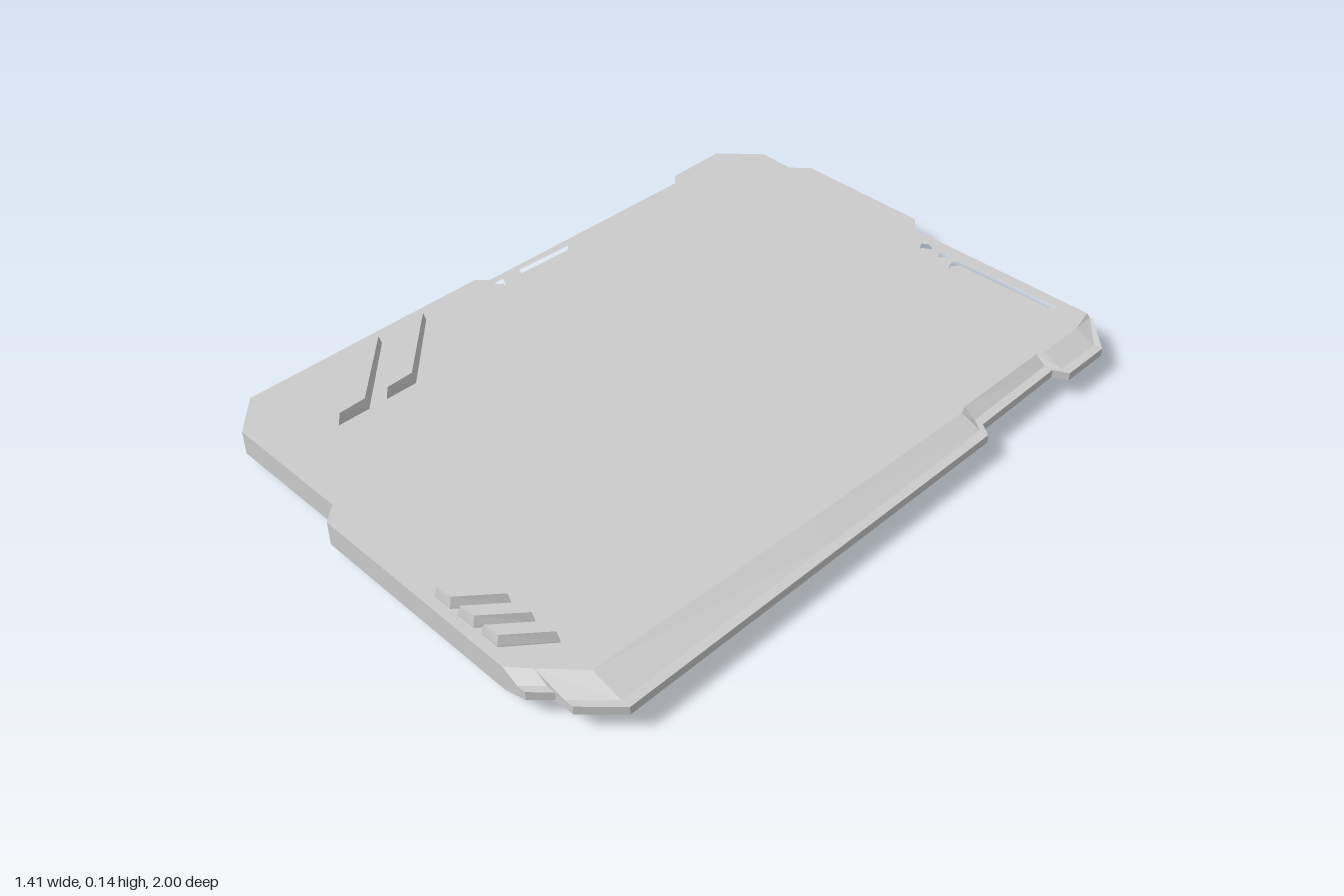
import * as THREE from 'three';

const MID = 0.07, HALF = 0.035; // mid height and half thickness of the slab
const mat = new THREE.MeshStandardMaterial({ color: 0xcccccc, flatShading: true });

// Extrude a plan outline of [x, z] points upwards from y0 to y1
function plate(name, pts, y0, y1, holes = [], bevel = 0) {
  const vecs = (p) => p.map(([x, z]) => new THREE.Vector2(x, -z));
  const shape = new THREE.Shape(vecs(pts));
  holes.forEach((h) => shape.holes.push(new THREE.Path(vecs(h))));
  const t = bevel ? 0.028 : 0;
  const geo = new THREE.ExtrudeGeometry(shape, {
    depth: y1 - y0 - 2 * t, bevelEnabled: bevel > 0, bevelThickness: t,
    bevelSize: bevel, bevelOffset: -bevel, bevelSegments: 1,
  });
  geo.rotateX(-Math.PI / 2).translate(0, y0 + t, 0);
  const mesh = new THREE.Mesh(geo, mat);
  mesh.name = name;
  return mesh;
}

const shift = (pts, dx, dz) => pts.map(([x, z]) => [x + dx, z + dz]);

// Tapered edge stations, back to front: z, crease x, outer x, half thickness at the rim
const stations = [
  [-0.95, 0.6, 0.62, 0.026], [-0.87, 0.62, 0.705, 0.012], [-0.72, 0.62, 0.705, 0.012],
  [-0.70, 0.61, 0.665, 0.012], [-0.39, 0.61, 0.67, 0.012], [-0.365, 0.62, 0.705, 0.012],
  [0.2, 0.61, 0.705, 0.012], [0.87, 0.59, 0.705, 0.012], [0.953, 0.5, 0.62, 0.012],
  [0.953, 0.5, 0.565, 0.012], [0.997, 0.45, 0.52, 0.012],
];

// Loft of six-point sections running along the right-hand edge
function taperedEdge() {
  const rings = stations.map(([z, c, x, h]) => {
    const lip = x - Math.min(0.025, (x - c) / 2);
    return [[c, -HALF], [lip, -h], [x, -h], [x, h], [lip, h], [c, HALF]]
      .map(([px, py]) => [px, MID + py, z]);
  });
  const pos = [];
  const tri = (...p) => p.forEach((v) => pos.push(...v));
  for (let i = 0; i < rings.length - 1; i++) {
    const a = rings[i], b = rings[i + 1];
    for (let j = 0; j < 5; j++) {
      tri(a[j], a[j + 1], b[j + 1]);
      tri(a[j], b[j + 1], b[j]);
    }
  }
  const back = rings[0], front = rings[rings.length - 1];
  for (let j = 1; j < 5; j++) {
    tri(back[0], back[j + 1], back[j]);
    tri(front[0], front[j], front[j + 1]);
  }
  const geo = new THREE.BufferGeometry();
  geo.setAttribute('position', new THREE.Float32BufferAttribute(pos, 3));
  geo.computeVertexNormals();
  const edgeMat = mat.clone();
  edgeMat.side = THREE.DoubleSide;
  const mesh = new THREE.Mesh(geo, edgeMat);
  mesh.name = 'taperedEdge';
  return mesh;
}

export function createModel() {
  const group = new THREE.Group();
  group.name = 'panel';

  // Recessed details, sunk into both faces
  const chip = [[0.065, -0.905], [0.085, -0.918], [0.107, -0.905], [0.08, -0.88]];
  const recesses = [
    [[0.2, -0.912], [0.53, -0.915], [0.48, -0.86], [0.2, -0.86], [0.185, -0.89]],
    chip, shift(chip, 0.065, 0),
    [[-0.65, -0.18], [-0.545, -0.08], [-0.545, 0], [-0.575, 0.025], [-0.655, 0]],
    [[-0.653, 0.06], [-0.625, 0.075], [-0.655, 0.092]],
  ];

  // Main slab, its right border following the crease of the tapered edge
  const outline = [
    [0.45, 0.997], [-0.18, 0.995], [-0.22, 0.95], [-0.6, 0.95], [-0.7, 0.86], [-0.705, 0.12],
    [-0.675, 0.09], [-0.675, -0.64], [-0.705, -0.67], [-0.71, -0.86], [-0.6, -0.96],
    [-0.49, -0.955], [-0.44, -1], [-0.03, -0.995], [0.01, -0.95],
    ...stations.filter((s, i) => i < 9).map(([z, c]) => [c, z]),
  ];
  group.add(plate('slab', outline, MID - HALF, MID + HALF, recesses));
  recesses.forEach((r) => group.add(plate('recessFloor', r, MID - 0.02, MID + 0.02)));
  group.add(taperedEdge());

  // Slanted grip bars near the left border, standing out of both faces
  const bar = [[-0.65, 0.335], [-0.45, 0.525], [-0.45, 0.618], [-0.65, 0.435]];
  for (let i = 0; i < 2; i++) {
    group.add(plate('gripBar', shift(bar, 0, i * 0.148), 0, 0.136, [], 0.008));
  }

  // Row of three short ribs at the front corner
  const rib = [[0.185, 0.968], [0.27, 0.864], [0.325, 0.864], [0.24, 0.968]];
  for (let i = 0; i < 3; i++) {
    group.add(plate('frontRib', shift(rib, i * 0.08, 0), 0, 0.136, [], 0.006));
  }
  return group;
}
